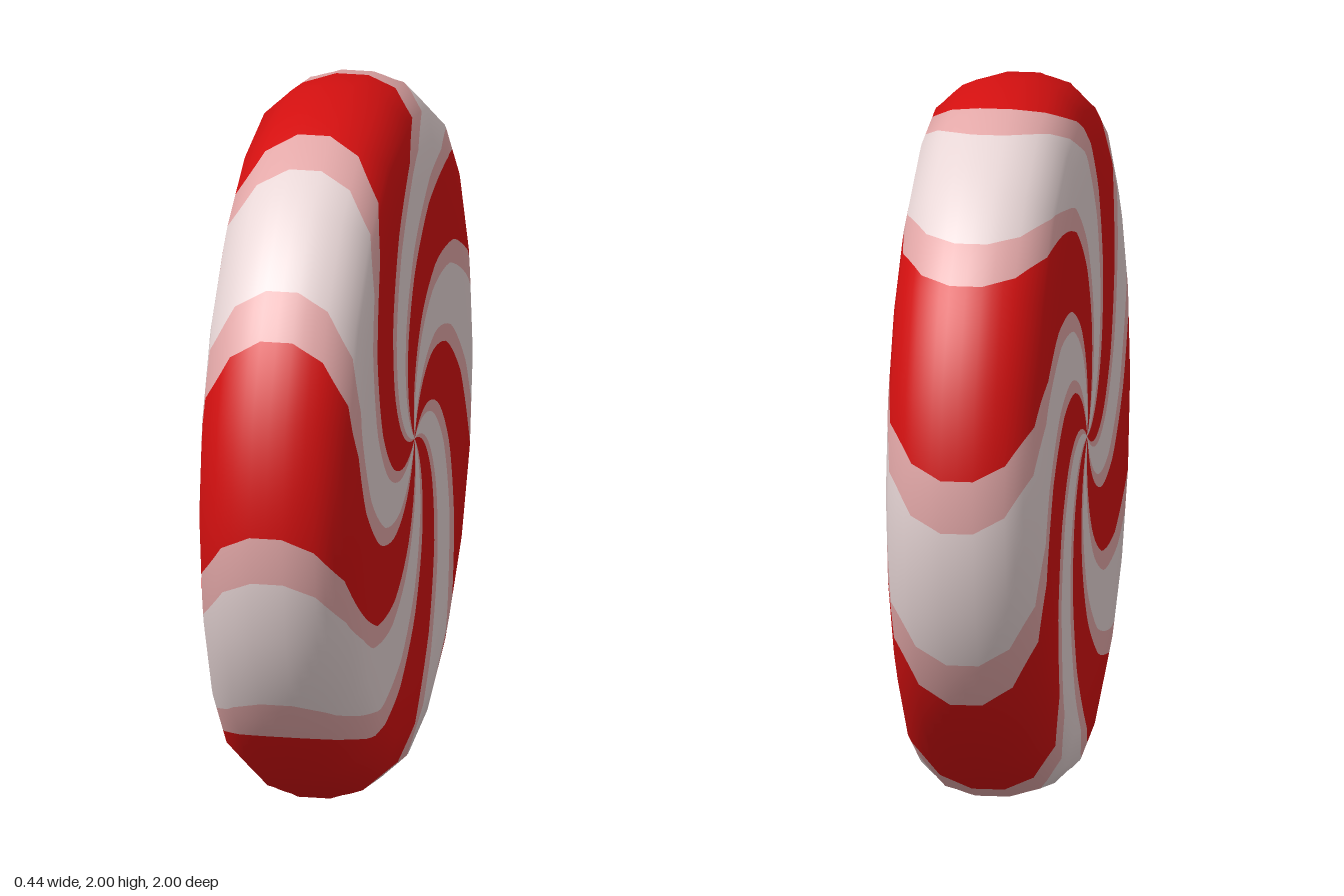
import * as THREE from 'three';

const SIDES = 20, ARMS = 5;
const RAD = Math.PI / 180;
const TWIST = 102; // degrees an arm turns between centre and rim

// Half profile of the disc: x, radius, tilt of the normal from the axis in degrees
const HALF = [
  [0.22, 0, 0], [0.22, 0.72, 0], [0.22, 0.82, 6], [0.2, 0.91, 30],
  [0.13, 0.975, 60], [0.045, 1, 82],
];
const STEPS = [20, 4, 4, 3, 3, 2];

// Full profile from the +x centre over the rim to the -x centre
function profileRows() {
  const mirrored = HALF.map(([x, r, a]) => [-x, r, 180 - a]).reverse();
  const points = [...HALF, ...mirrored];
  const steps = [...STEPS, ...STEPS.slice(0, -1).reverse()];
  const rows = [points[0]];
  for (let i = 0; i < points.length - 1; i++) {
    for (let s = 1; s <= steps[i]; s++) {
      rows.push(points[i].map((v, k) => v + (points[i + 1][k] - v) * s / steps[i]));
    }
  }
  return rows;
}

// One swirl band between two rim angles, wrapped over both faces and the rim
function bandGeometry(rows, from, to) {
  const cols = Math.ceil((to - from) / 1.5);
  const pos = [], nor = [], idx = [];
  const sector = 360 / SIDES;
  for (const [x, r, tilt] of rows) {
    for (let j = 0; j <= cols; j++) {
      const deg = from + (to - from) * j / cols - TWIST * (1 - r);
      const inSector = ((deg % sector) + sector) % sector - sector / 2;
      const rr = r * Math.cos(sector / 2 * RAD) / Math.cos(inSector * RAD);
      const c = Math.cos(deg * RAD), s = Math.sin(deg * RAD);
      const n = Math.sin(tilt * RAD);
      pos.push(x, rr * s, rr * c);
      nor.push(Math.cos(tilt * RAD), n * s, n * c);
    }
  }
  const w = cols + 1;
  for (let i = 0; i < rows.length - 1; i++) {
    for (let j = 0; j < cols; j++) {
      const a = i * w + j, b = a + 1, c = a + w, d = c + 1;
      idx.push(a, b, c, b, d, c);
    }
  }
  const g = new THREE.BufferGeometry();
  g.setAttribute('position', new THREE.Float32BufferAttribute(pos, 3));
  g.setAttribute('normal', new THREE.Float32BufferAttribute(nor, 3));
  g.setIndex(idx);
  return g;
}

export function createModel() {
  const mat = (name, color) => {
    const m = new THREE.MeshStandardMaterial({ color });
    m.name = name;
    return m;
  };
  const red = mat('candyRed', 0xd41010);
  const pink = mat('palePink', 0xe3a8a8);
  const white = mat('creamWhite', 0xecdada);

  const model = new THREE.Group();
  model.name = 'peppermintCandy';

  // Bands of one arm: rim angles in degrees
  const bands = [
    ['redSwirl', 0, 31.5, red],
    ['upperPinkSwirl', 31.5, 40, pink],
    ['whiteSwirl', 40, 64, white],
    ['lowerPinkSwirl', 64, 72, pink],
  ];
  const rows = profileRows();
  for (let arm = 0; arm < ARMS; arm++) {
    const turn = arm * 360 / ARMS;
    for (const [name, from, to, material] of bands) {
      const mesh = new THREE.Mesh(bandGeometry(rows, from + turn, to + turn), material);
      mesh.name = name + (arm + 1);
      mesh.position.y = 1;
      model.add(mesh);
    }
  }
  return model;
}
